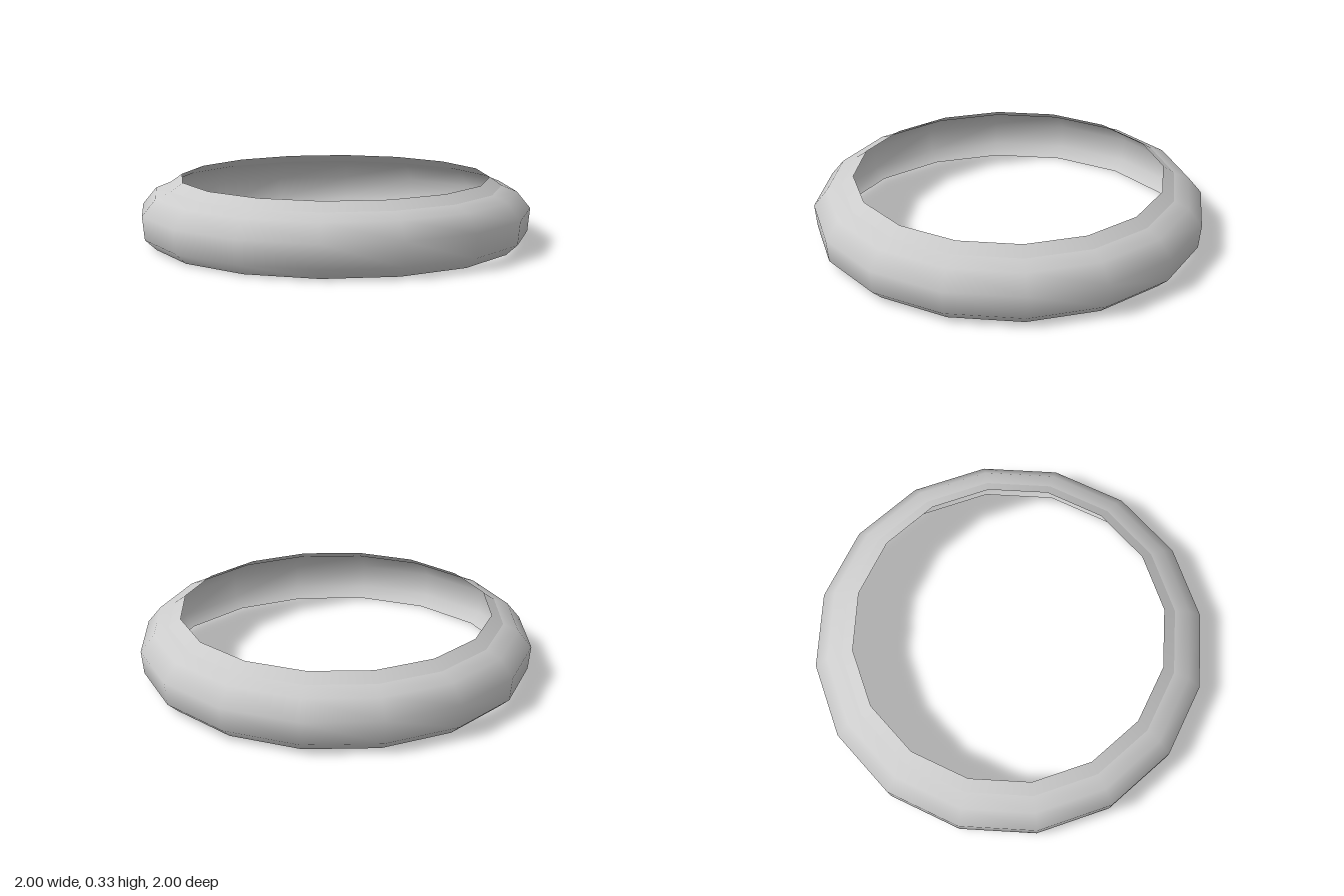
import * as THREE from 'three';

const SIDES = 16;

// Open thin band revolved from [radius, height] pairs, bottom to top
function band(name, profile, material) {
  const points = profile.map(([r, y]) => new THREE.Vector2(r, y));
  const mesh = new THREE.Mesh(new THREE.LatheGeometry(points, SIDES), material);
  mesh.name = name;
  return mesh;
}

export function createModel() {
  const group = new THREE.Group();
  group.name = 'ring';
  const material = new THREE.MeshStandardMaterial({ color: 0xcccccc, side: THREE.DoubleSide });

  // Bulging outer shell, open underneath
  group.add(band('ringShell', [
    [0.93, 0], [0.988, 0.053], [1, 0.172], [0.93, 0.257], [0.853, 0.288],
  ], material));

  // Sloped lip around the opening, with a crease where it meets the shell
  group.add(band('upperLip', [[0.853, 0.288], [0.793, 0.33]], material));

  return group;
}
